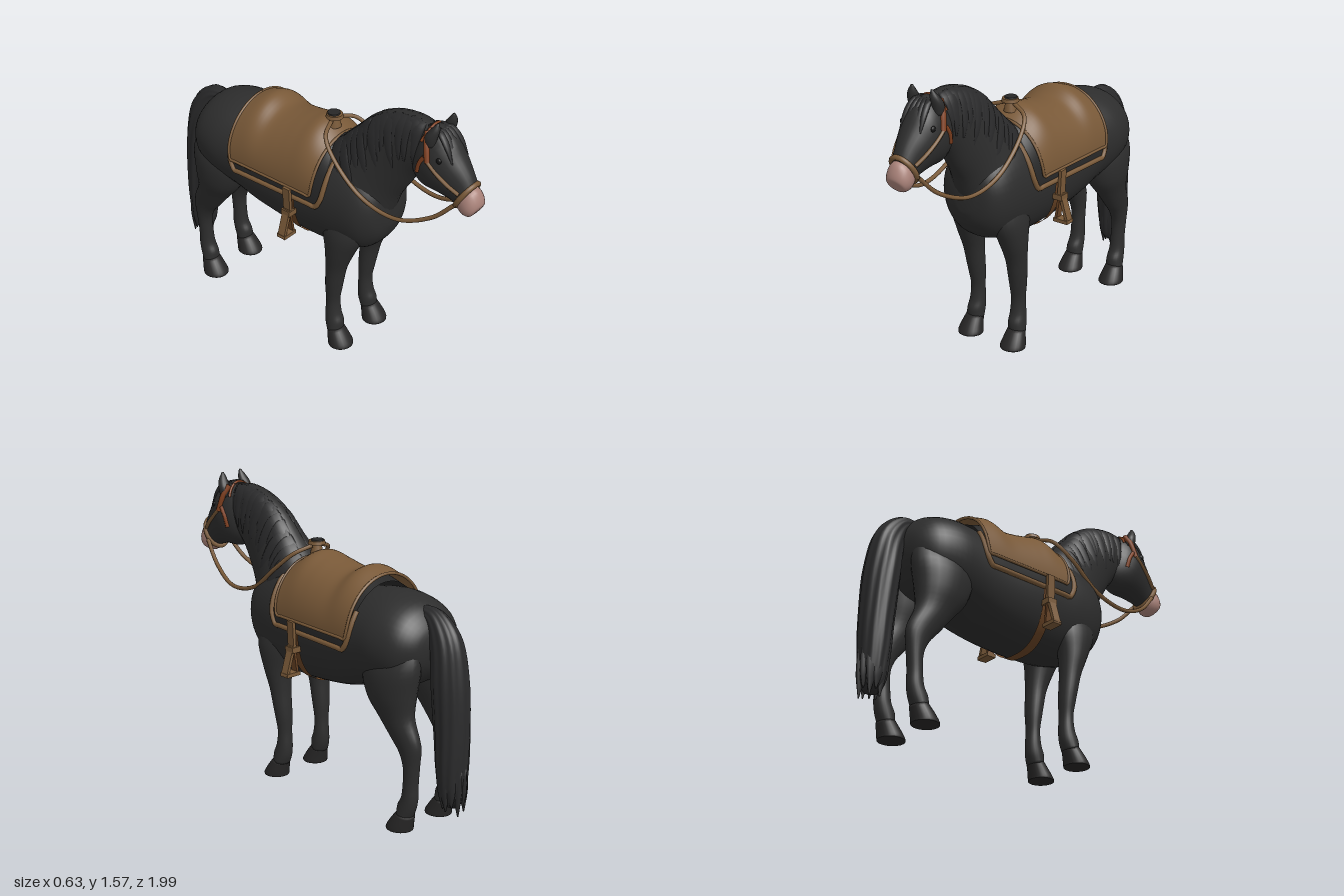
import * as THREE from 'three';

const mat = (name, color, side = THREE.FrontSide) => {
  const m = new THREE.MeshStandardMaterial({ color, side });
  m.name = name;
  return m;
};

export function createModel() {
  const coat = mat('coat', 0x2d2d2d), hair = mat('hair', 0x2a2a2b), horn = mat('hoof', 0x272626);
  const pink = mat('muzzlePink', 0xa98279), tan = mat('tanLeather', 0x795938, THREE.DoubleSide);
  const red = mat('redLeather', 0x81401f), dark = mat('darkCloth', 0x272727, THREE.DoubleSide);
  const girthMat = mat('girthLeather', 0x6a4425, THREE.DoubleSide), black = mat('black', 0x141414);
  const model = new THREE.Group();
  const V = (x, y, z) => new THREE.Vector3(x, y, z);
  const add = (name, geo, material, parent = model) => {
    const m = new THREE.Mesh(geo, material);
    m.name = name;
    parent.add(m);
    return m;
  };

  // Two guide curves (one edge, opposite edge) from rows [zA, yA, zB, yB, halfWidth, x]
  const guides = (rows) => [
    new THREE.CatmullRomCurve3(rows.map((r) => V(r[5] || 0, r[1], r[0]))),
    new THREE.CatmullRomCurve3(rows.map((r) => V(r[4], r[3], r[2]))),
  ];

  // Smooth closed loft of elliptical sections; full < 1 fills out the A half
  function loft(rows, { seg = 24, sub = 4, ridge = 0, ridges = 9, full = 1 } = {}) {
    const [ca, cb] = guides(rows), n = (rows.length - 1) * sub, pos = [], idx = [];
    for (let i = 0; i <= n; i++) {
      const a = ca.getPoint(i / n), b = cb.getPoint(i / n);
      for (let j = 0; j < seg; j++) {
        const t = (j / seg) * Math.PI * 2, k = 1 + ridge * Math.sin(ridges * t + i * 0.25);
        const s = (Math.sin(t) * k) / 2, c = Math.cos(t);
        const w = Math.sign(c) * Math.abs(c) ** (s < 0 ? full : 1) * b.x * k;
        pos.push(a.x + w, (a.y + b.y) / 2 + (b.y - a.y) * s, (a.z + b.z) / 2 + (b.z - a.z) * s);
        if (i < n) {
          const p = i * seg + j, q = i * seg + ((j + 1) % seg);
          idx.push(p, q, p + seg, q, q + seg, p + seg);
        }
      }
    }
    for (const i of [0, n]) {
      const a = ca.getPoint(i / n), b = cb.getPoint(i / n), c = pos.length / 3;
      pos.push(a.x, (a.y + b.y) / 2, (a.z + b.z) / 2);
      for (let j = 0; j < seg; j++) {
        const p = i * seg + j, q = i * seg + ((j + 1) % seg);
        i ? idx.push(p, q, c) : idx.push(q, p, c);
      }
    }
    // Signed volume tells whether the faces point outward
    const at = (i) => V(pos[i * 3], pos[i * 3 + 1], pos[i * 3 + 2]);
    let vol = 0;
    for (let i = 0; i < idx.length; i += 3) vol += at(idx[i]).dot(at(idx[i + 1]).cross(at(idx[i + 2])));
    if (vol < 0) idx.reverse();
    const g = new THREE.BufferGeometry();
    g.setAttribute('position', new THREE.Float32BufferAttribute(pos, 3));
    g.setIndex(idx);
    g.computeVertexNormals();
    return g;
  }

  // Open surface from a rule f(u, v)
  function sheet(f, nu, nv) {
    const g = new THREE.PlaneGeometry(1, 1, nu, nv), p = g.attributes.position;
    for (let i = 0; i < p.count; i++) {
      const q = f(p.getX(i) + 0.5, p.getY(i) + 0.5);
      p.setXYZ(i, q.x, q.y, q.z);
    }
    g.computeVertexNormals();
    return g;
  }
  const tube = (pts, r, closed = false, n = 48) =>
    new THREE.TubeGeometry(new THREE.CatmullRomCurve3(pts, closed), n, r, 8, closed);
  const mirrored = (rows, s) => rows.map((r) => [...r.slice(0, 5), r[5] * s]);

  // Barrel, chest and rump
  add('torso', loft([
    [0.465, 0.82, 0.465, 0.96, 0.05], [0.44, 0.74, 0.44, 1.06, 0.14], [0.37, 0.655, 0.37, 1.14, 0.195],
    [0.25, 0.61, 0.25, 1.19, 0.216], [0.1, 0.59, 0.1, 1.19, 0.224], [-0.1, 0.6, -0.1, 1.16, 0.235],
    [-0.3, 0.63, -0.3, 1.15, 0.242], [-0.45, 0.675, -0.45, 1.175, 0.253], [-0.58, 0.7, -0.58, 1.175, 0.26],
    [-0.7, 0.74, -0.7, 1.14, 0.23], [-0.775, 0.83, -0.775, 1.06, 0.15], [-0.8, 0.91, -0.8, 0.99, 0.05],
  ], { seg: 40, full: 0.8 }), coat);

  // Neck and head
  const neckRows = [
    [0.4, 0.76, 0.02, 1.15, 0.17], [0.455, 0.88, 0.13, 1.215, 0.165], [0.5, 1.0, 0.23, 1.31, 0.135],
    [0.56, 1.1, 0.35, 1.43, 0.11], [0.61, 1.18, 0.47, 1.495, 0.097], [0.66, 1.23, 0.6, 1.52, 0.085],
    [0.72, 1.28, 0.69, 1.51, 0.07],
  ];
  add('neck', loft(neckRows, { seg: 32 }), coat);
  add('head', loft([
    [0.58, 1.27, 0.64, 1.49, 0.05], [0.62, 1.2, 0.73, 1.52, 0.097], [0.68, 1.17, 0.81, 1.48, 0.113],
    [0.76, 1.165, 0.87, 1.4, 0.098], [0.83, 1.15, 0.925, 1.32, 0.073], [0.875, 1.135, 0.955, 1.265, 0.062],
  ], { seg: 28 }), coat);
  add('muzzle', loft([
    [0.86, 1.14, 0.94, 1.26, 0.058], [0.878, 1.118, 0.968, 1.245, 0.066], [0.91, 1.1, 0.988, 1.21, 0.066],
    [0.945, 1.1, 0.995, 1.18, 0.052], [0.965, 1.12, 0.99, 1.16, 0.025],
  ]), pink);

  const frontLegRows = [
    [0.36, 0.9, 0.12, 0.9, 0.05, 0.1], [0.375, 0.75, 0.12, 0.75, 0.085, 0.122], [0.32, 0.62, 0.15, 0.62, 0.075, 0.135],
    [0.27, 0.5, 0.155, 0.5, 0.058, 0.138], [0.247, 0.4, 0.15, 0.4, 0.052, 0.136], [0.235, 0.34, 0.148, 0.34, 0.047, 0.134],
    [0.222, 0.26, 0.15, 0.26, 0.04, 0.132], [0.232, 0.18, 0.145, 0.18, 0.043, 0.133],
    [0.25, 0.135, 0.148, 0.125, 0.047, 0.135], [0.25, 0.09, 0.165, 0.075, 0.049, 0.138],
  ];
  const hindLegRows = [
    [-0.5, 0.98, -0.76, 0.98, 0.06, 0.11], [-0.44, 0.82, -0.79, 0.85, 0.105, 0.135], [-0.48, 0.68, -0.775, 0.72, 0.1, 0.143],
    [-0.56, 0.58, -0.77, 0.6, 0.071, 0.145], [-0.64, 0.48, -0.81, 0.5, 0.053, 0.143], [-0.69, 0.42, -0.82, 0.45, 0.047, 0.14],
    [-0.72, 0.35, -0.81, 0.36, 0.041, 0.138], [-0.72, 0.25, -0.8, 0.25, 0.039, 0.136], [-0.71, 0.18, -0.8, 0.18, 0.042, 0.136],
    [-0.688, 0.135, -0.79, 0.125, 0.046, 0.137], [-0.685, 0.09, -0.77, 0.075, 0.049, 0.138],
  ];
  const hoofRows = (f, b) => [
    [f - 0.066, 0.1, b - 0.013, 0.08, 0.048, 0.138], [f - 0.025, 0.045, b - 0.005, 0.035, 0.062, 0.14],
    [f - 0.003, 0.008, b, 0.006, 0.069, 0.14], [f - 0.002, 0, b, 0, 0.068, 0.14],
  ];

  const [under, crest] = guides(neckRows);
  // Flat strand of hair through [x, y, z, width] points; slope tilts its width
  const lock = (pts, thick, slope = 0) =>
    loft(pts.map(([x, y, z, w]) => [z + w, y + w * slope, z - w, y - w * slope, Math.min(thick, w), x]), { seg: 8, sub: 3 });

  for (const s of [1, -1]) {
    const side = s > 0 ? 'left' : 'right';
    add(side + 'FrontLeg', loft(mirrored(frontLegRows, s)), coat);
    add(side + 'HindLeg', loft(mirrored(hindLegRows, s)), coat);
    add(side + 'FrontHoof', loft(mirrored(hoofRows(0.315, 0.18), s)), horn);
    add(side + 'HindHoof', loft(mirrored(hoofRows(-0.62, -0.765), s)), horn);

    // Ears, eyes and nostrils
    add(side + 'Ear', loft(mirrored([
      [0.755, 1.44, 0.705, 1.44, 0.024, 0.074], [0.768, 1.49, 0.705, 1.49, 0.031, 0.073],
      [0.775, 1.53, 0.73, 1.53, 0.024, 0.067], [0.768, 1.567, 0.758, 1.567, 0.006, 0.06],
    ], s), { seg: 14 }), coat);
    const eye = add(side + 'Eye', new THREE.SphereGeometry(0.015, 14, 10), black);
    eye.position.set(s * 0.094, 1.39, 0.8);
    eye.scale.x = 0.6;
    const nostril = add(side + 'Nostril', new THREE.SphereGeometry(0.009, 10, 8), black);
    nostril.position.set(s * 0.036, 1.185, 0.976);
    nostril.scale.z = 0.6;

    // Mane strands lying along the neck
    for (let i = 0; i < 15; i++) {
      const t = 0.2 + i * 0.05, a = under.getPoint(t), b = crest.getPoint(t), d = crest.getTangent(t);
      const reach = 0.52 + 0.14 * Math.sin(i * 2.4 + s);
      const pts = [0.03, 0.15, 0.35, 0.75, 1].map((k, j) => {
        const f = k * reach, x = b.x * 2 * Math.sqrt(f * (1 - f));
        return [s * x, b.y + (a.y - b.y) * f - 0.05 * k * k, b.z + (a.z - b.z) * f - 0.03 * k, [0.03, 0.036, 0.032, 0.02, 0.004][j]];
      });
      add(side + 'ManeStrand', lock(pts, 0.009, d.y / d.z), hair);
    }

    // Bridle straps and rein
    add(side + 'CheekStrap', tube([V(s * 0.112, 1.375, 0.74), V(s * 0.108, 1.33, 0.79), V(s * 0.094, 1.28, 0.85), V(s * 0.07, 1.235, 0.905)], 0.01), tan);
    add(side + 'HeadStrap', tube([V(s * 0.062, 1.505, 0.705), V(s * 0.09, 1.455, 0.722), V(s * 0.109, 1.365, 0.745)], 0.015), red);
    add(side + 'ThroatStrap', tube([V(s * 0.105, 1.39, 0.725), V(s * 0.106, 1.34, 0.695), V(s * 0.1, 1.285, 0.68)], 0.011), red);
    add(side + 'Rein', tube([
      V(s * 0.072, 1.17, 0.89), V(s * 0.1, 1.06, 0.78), V(s * 0.14, 0.985, 0.6), V(s * 0.158, 1.02, 0.4),
      V(s * 0.16, 1.16, 0.22), V(s * 0.12, 1.25, 0.12), V(s * 0.03, 1.285, 0.08),
    ], 0.011), tan);

    // Stirrup leather and triangular stirrup
    const bar = (name, x0, y0, x1, y1, w, th, m) => {
      const b = add(side + name, new THREE.BoxGeometry(Math.hypot(x1 - x0, y1 - y0) + th, th, w), m);
      b.position.set((s * (x0 + x1)) / 2, (y0 + y1) / 2, -0.018);
      b.rotation.z = Math.atan2(y1 - y0, s * (x1 - x0));
    };
    bar('StirrupLeather', 0.262, 0.94, 0.255, 0.8, 0.045, 0.018, tan);
    bar('StirrupBuckle', 0.262, 0.8, 0.235, 0.8, 0.058, 0.03, tan);
    bar('StirrupOuterBar', 0.262, 0.81, 0.303, 0.675, 0.045, 0.017, tan);
    bar('StirrupInnerBar', 0.255, 0.81, 0.235, 0.675, 0.04, 0.014, girthMat);
    bar('StirrupTread', 0.235, 0.67, 0.302, 0.67, 0.055, 0.02, tan);
  }

  // Forelock
  for (let i = -2; i <= 2; i++)
    add('forelockStrand', lock([
      [i * 0.012, 1.51, 0.7, 0.02], [i * 0.02, 1.512, 0.755, 0.02], [i * 0.026, 1.46, 0.81, 0.016], [i * 0.03, 1.39 + 0.02 * Math.cos(i * 2), 0.855, 0.004],
    ], 0.016), hair);

  // Tail with ridged hair and loose tips
  add('tail', loft([
    [-0.68, 1.07, -0.67, 1.135, 0.03], [-0.745, 1.04, -0.79, 1.13, 0.05], [-0.775, 0.92, -0.91, 1.03, 0.078],
    [-0.79, 0.77, -0.968, 0.83, 0.095], [-0.815, 0.52, -0.988, 0.54, 0.09], [-0.83, 0.33, -0.985, 0.33, 0.082],
    [-0.85, 0.19, -0.972, 0.19, 0.06], [-0.88, 0.15, -0.95, 0.15, 0.03],
  ], { seg: 60, sub: 5, ridge: 0.03, ridges: 11 }), hair);
  for (let i = 0; i < 10; i++) {
    const a = i * 0.628, x = Math.cos(a) * 0.05, z = -0.91 + Math.sin(a) * 0.05;
    add('tailTip', lock([[x, 0.36, z, 0.03], [x * 1.1, 0.24, z - 0.005, 0.027], [x * 1.1, 0.135 + 0.025 * Math.sin(i * 3), z - 0.012, 0.003]], 0.02), hair);
  }

  // Noseband around the muzzle, thin headstall over the poll
  const ring = (A, B, w, a0, a1, r, closed) => {
    const pts = [], n = 20;
    for (let i = 0; i < (closed ? n : n + 1); i++) {
      const t = a0 + ((a1 - a0) * i) / n, k = Math.sin(t) / 2;
      pts.push(V(Math.cos(t) * w, (A[1] + B[1]) / 2 + (B[1] - A[1]) * k, (A[0] + B[0]) / 2 + (B[0] - A[0]) * k));
    }
    return tube(pts, r, closed, 60);
  };
  add('noseband', ring([0.865, 1.13], [0.947, 1.272], 0.067, 0, Math.PI * 2, 0.014, true), tan);
  add('headstall', ring([0.605, 1.19], [0.705, 1.517], 0.098, 0.6, Math.PI - 0.6, 0.007, false), red);

  // Saddle and pad: half-ellipse arches swept along the back
  const topLine = new THREE.CatmullRomCurve3([
    V(0, 1.215, 0.14), V(0, 1.268, 0.08), V(0, 1.255, -0.05), V(0, 1.235, -0.17), V(0, 1.228, -0.28), V(0, 1.265, -0.38), V(0, 1.235, -0.435),
  ]);
  const arch = (z0, z1, wFront, wBack, bottom, drop, round) => (u, v) => {
    const t = (u - 0.5) * Math.PI, s = Math.abs(2 * u - 1), top = topLine.getPoint(v).y - drop;
    const z = (z0 + z1) / 2 + (v - 0.5) * (z1 - z0) * (1 - round * s ** 10);
    return V(Math.sin(t) * (wFront + (wBack - wFront) * v), bottom + (top - bottom) * Math.cos(t), z);
  };
  // Tube along the edge of an arch; back is how much of the rear edge it follows from each side
  const rim = (f, r, back) => {
    const pts = [], n = 16, at = (i) => i / n;
    for (let i = 0; i <= n; i++) pts.push(f(back * (1 - at(i)), 1));
    for (let i = 1; i <= n; i++) pts.push(f(0, 1 - at(i)));
    for (let i = 1; i <= n; i++) pts.push(f(at(i), 0));
    for (let i = 1; i <= n; i++) pts.push(f(1, at(i)));
    for (let i = 1; i <= n; i++) pts.push(f(1 - back * at(i), 1));
    return tube(pts, r, false, 180);
  };
  const seat = arch(0.13, -0.43, 0.245, 0.265, 0.95, 0, 0.06), pad = arch(0.185, -0.435, 0.228, 0.258, 0.89, 0.04, 0.14);
  add('saddle', sheet(seat, 40, 30), tan);
  add('saddleRim', rim(seat, 0.008, 0.5), tan);
  add('saddlePad', sheet(pad, 40, 30), dark);
  add('saddlePadTrim', rim(pad, 0.014, 0.22), tan);

  // Saddle horn
  const stem = add('saddleHornStem', new THREE.CylinderGeometry(0.022, 0.035, 0.06, 16), tan);
  stem.position.set(0, 1.27, 0.075);
  const cap = add('saddleHornCap', new THREE.CylinderGeometry(0.042, 0.046, 0.018, 20), tan);
  cap.position.set(0, 1.302, 0.075);
  const inset = add('saddleHornInset', new THREE.CylinderGeometry(0.032, 0.034, 0.008, 20), dark);
  inset.position.set(0, 1.314, 0.07);

  // Girth strap under the belly
  add('girth', sheet((u, v) => {
    const c = Math.cos(u * Math.PI);
    return V(Math.sign(c) * Math.abs(c) ** 0.8 * 0.24, 0.885 - Math.sin(u * Math.PI) * 0.298, -0.018 + (v - 0.5) * 0.055);
  }, 40, 1), girthMat);

  return model;
}
